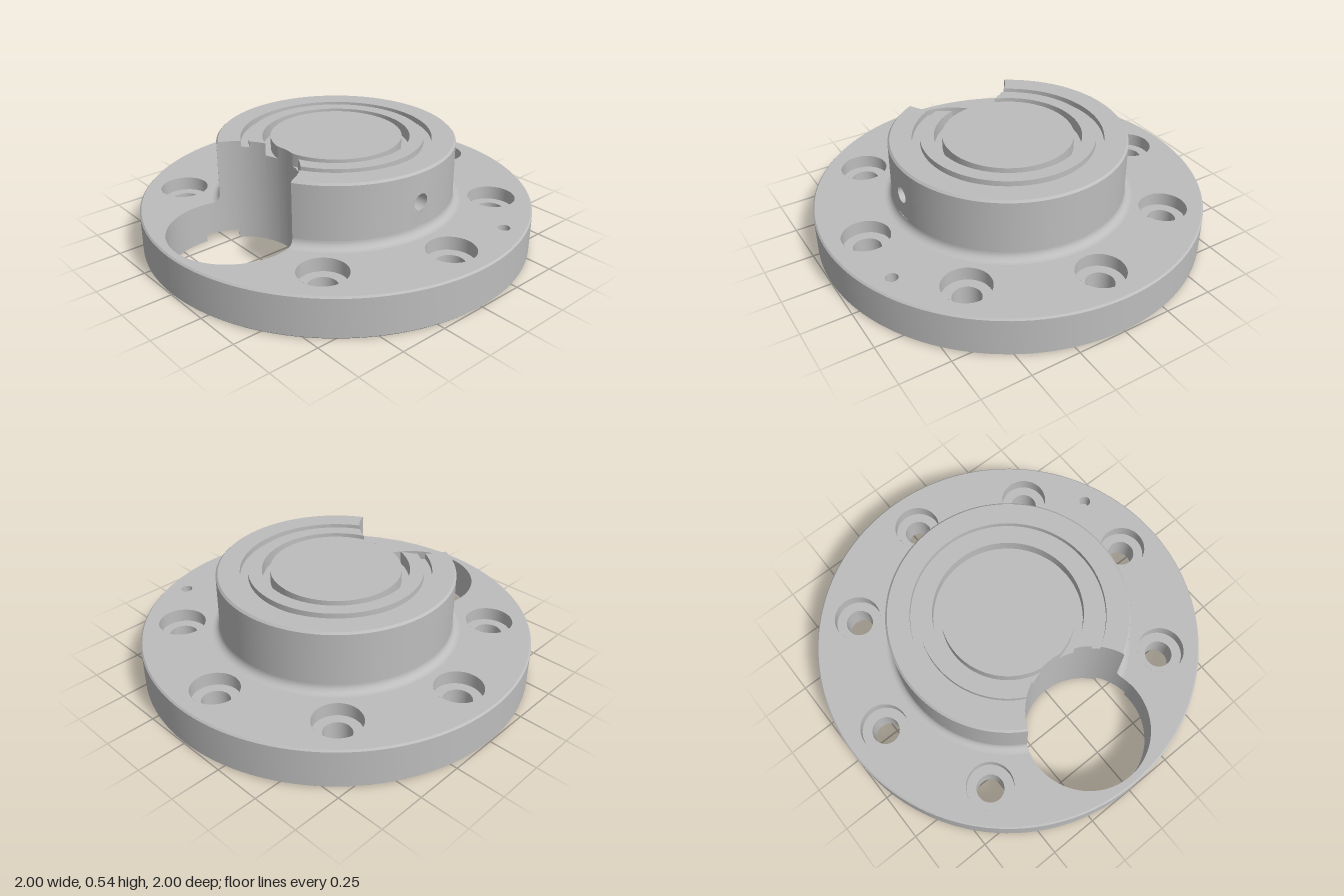
import * as THREE from 'three';

const TOP = 0.535, DECK = 0.21, GROOVE = 0.04;   // key heights
const CUT_Z = 0.64, CUT_R = 0.32;                // round cutout through the front
const BOLT_R = 0.07, BORE_R = 0.12, BORE_DEPTH = 0.07;
const FILLET = 0.04, PORT_Y = 0.375, PORT_R = 0.042, PORT_HALF = 0.1;

const clampAcos = (c) => Math.acos(Math.min(1, Math.max(-1, c)));
// half angle (from +z) that the cutout removes from a circle of radius r
const cutAngle = (r) => (r <= CUT_R ? 0 :
  clampAcos((r * r + CUT_Z * CUT_Z - CUT_R * CUT_R) / (2 * r * CUT_Z)));
// angle around the cutout's own centre at distance r from the main axis, and back
const cutPhi = (r) => clampAcos((CUT_Z ** 2 + CUT_R ** 2 - r * r) / (2 * CUT_Z * CUT_R));
const phiRadius = (p) => Math.sqrt(CUT_Z ** 2 + CUT_R ** 2 - 2 * CUT_Z * CUT_R * Math.cos(p));
const lerp = THREE.MathUtils.lerp;

// smooth surface through rows of points
function grid(rows) {
  const n = rows[0].length, index = [];
  for (let i = 0; i < rows.length - 1; i++) {
    for (let j = 0; j < n - 1; j++) {
      const a = i * n + j, b = a + n;
      index.push(a, b, a + 1, b, b + 1, a + 1);
    }
  }
  const geo = new THREE.BufferGeometry().setFromPoints(rows.flat());
  geo.setIndex(index);
  geo.computeVertexNormals();
  return geo;
}

// revolved profile of [radius, height] that stops at the cutout
function revolve(profile, from, to, segments = 128) {
  return grid(profile.map(([r, y]) => {
    const a0 = from ?? cutAngle(r), a1 = to ?? 2 * Math.PI - cutAngle(r);
    return Array.from({ length: segments + 1 }, (_, j) => {
      const a = lerp(a0, a1, j / segments);
      return new THREE.Vector3(r * Math.sin(a), y, r * Math.cos(a));
    });
  }));
}

// flat ring (or disc when inner is 0) with the cutout bitten out
function flatRing(outer, inner, y) {
  const p0 = cutPhi(outer), p1 = cutPhi(inner), profile = [];
  for (let i = 0; i <= 16; i++) profile.push([phiRadius(lerp(p0, p1, i / 16)), y]);
  if (inner < CUT_R) profile.push([inner, y]);
  return revolve(profile);
}

const boltSpots = [];
for (let i = 1; i < 8; i++) {
  const a = i * Math.PI / 4;
  boltSpots.push([0.8 * Math.sin(a), 0.8 * Math.cos(a)]);
}
const pin = [0.825, -0.345, 0.03];

// flange face: disc minus hub circle, cutout and round holes
function flangeFace(inner, y, holes) {
  const shape = new THREE.Shape().absarc(0, 0, 0.992, 0, Math.PI * 2);
  const a0 = cutAngle(inner), p0 = cutPhi(inner), pts = [];
  for (let i = 0; i <= 128; i++) {
    const a = lerp(a0, 2 * Math.PI - a0, i / 128);
    pts.push(new THREE.Vector2(inner * Math.sin(a), inner * Math.cos(a)));
  }
  for (let i = 1; i < 64; i++) {
    const p = -lerp(p0, 2 * Math.PI - p0, i / 64);
    pts.push(new THREE.Vector2(CUT_R * Math.sin(p), CUT_Z - CUT_R * Math.cos(p)));
  }
  shape.holes.push(new THREE.Path(pts));
  for (const [x, z, r] of holes) {
    shape.holes.push(new THREE.Path().absarc(x, z, r, 0, Math.PI * 2, true));
  }
  return new THREE.ShapeGeometry(shape, 64).rotateX(Math.PI / 2).translate(0, y, 0);
}

// open round wall standing between two heights
const tube = (r, y0, y1) =>
  new THREE.CylinderGeometry(r, r, y1 - y0, 40, 1, true).translate(0, (y0 + y1) / 2, 0);

// curved hub panel pierced by the side port
function portPanel() {
  const w = 0.6 * PORT_HALF;
  const shape = new THREE.Shape([[-w, 0.25], [w, 0.25], [w, 0.525], [-w, 0.525]]
    .map(([x, y]) => new THREE.Vector2(x, y)));
  shape.holes.push(new THREE.Path().absarc(0, PORT_Y, PORT_R, 0, Math.PI * 2, true));
  const geo = new THREE.ShapeGeometry(shape, 24), pos = geo.attributes.position;
  for (let i = 0; i < pos.count; i++) {
    const a = Math.PI / 2 + pos.getX(i) / 0.6;
    pos.setXYZ(i, 0.6 * Math.sin(a), pos.getY(i), 0.6 * Math.cos(a));
  }
  geo.computeVertexNormals();
  return geo;
}

// fillet from hub wall down to flange
const fillet = Array.from({ length: 9 }, (_, i) => {
  const a = (i / 8) * Math.PI / 2;
  return [0.6 + FILLET * (1 - Math.cos(a)), DECK + FILLET * (1 - Math.sin(a))];
});

// wall of the cutout, following the stepped section [radius, top, bottom]
function cutoutWall() {
  const section = [
    [0.32, TOP, 0], [0.33, TOP, 0], [0.33, 0.47, 0], [0.37, 0.47, 0], [0.37, TOP, 0],
    [0.44, TOP, 0], [0.44, 0.505, 0], [0.48, 0.505, 0], [0.48, TOP, 0], [0.51, TOP, 0],
    [0.51, TOP, GROOVE], [0.59, TOP, GROOVE], [0.6, 0.525, GROOVE],
    ...fillet.map(([r, y]) => [r, y, GROOVE]),
    [0.68, DECK, GROOVE], [0.68, DECK, 0], [0.96, DECK, 0],
  ];
  const half = [];
  for (let i = 0; i < section.length - 1; i++) {
    const [r0, t0, b0] = section[i], [r1, t1, b1] = section[i + 1];
    const p0 = cutPhi(r0), p1 = cutPhi(r1), n = Math.max(1, Math.ceil((p1 - p0) / 0.06));
    for (let k = 0; k <= n; k++) {
      const f = k / n;
      half.push([lerp(p0, p1, f), lerp(t0, t1, f), lerp(b0, b1, f)]);
    }
  }
  const mirrored = half.map(([p, t, b]) => [-p, t, b]).reverse();
  return grid([...mirrored, ...half].map(([p, t, b]) => [b, t].map((y) =>
    new THREE.Vector3(CUT_R * Math.sin(p), y, CUT_Z - CUT_R * Math.cos(p)))));
}

export function createModel() {
  const model = new THREE.Group();
  model.name = 'flangedHub';
  const steel = new THREE.MeshStandardMaterial({ color: 0xbdbdbd, side: THREE.DoubleSide });
  steel.name = 'steel';
  const add = (name, geo, parent = model) => {
    const mesh = new THREE.Mesh(geo, steel);
    mesh.name = name;
    parent.add(mesh);
    return mesh;
  };

  // flange plate
  const bolts = (r) => boltSpots.map(([x, z]) => [x, z, r]);
  add('flangeTop', flangeFace(0.64, DECK, [...bolts(BORE_R), pin]));
  add('flangeBottom', flangeFace(0.68, 0, bolts(BOLT_R)));
  add('flangeRim', revolve([[1, 0.008], [1, DECK - 0.008]]));
  add('flangeTopChamfer', revolve([[1, DECK - 0.008], [0.992, DECK]]));
  add('flangeBottomChamfer', revolve([[0.992, 0], [1, 0.008]]));

  // counterbored bolt holes
  for (const [x, z] of boltSpots) {
    const hole = new THREE.Group();
    hole.name = 'boltHole';
    hole.position.set(x, 0, z);
    const floor = DECK - BORE_DEPTH;
    add('counterboreWall', tube(BORE_R, floor, DECK), hole);
    add('counterboreFloor', new THREE.RingGeometry(BOLT_R, BORE_R, 40)
      .rotateX(-Math.PI / 2).translate(0, floor, 0), hole);
    add('boltHoleWall', tube(BOLT_R, 0, floor), hole);
    model.add(hole);
  }

  // blind pin hole
  add('pinHoleWall', tube(pin[2], DECK - 0.08, DECK)).position.set(pin[0], 0, pin[1]);
  add('pinHoleFloor', new THREE.CircleGeometry(pin[2], 32).rotateX(-Math.PI / 2))
    .position.set(pin[0], DECK - 0.08, pin[1]);

  // hub side, split around the port panel
  const side = [[0.6, 0.525], [0.6, 0.25]], a = cutAngle(0.6);
  add('hubWallFront', revolve(side, a, Math.PI / 2 - PORT_HALF, 32));
  add('hubWallBack', revolve(side, Math.PI / 2 + PORT_HALF, 2 * Math.PI - a, 96));
  add('hubPortPanel', portPanel());
  add('hubFillet', revolve(fillet));
  add('hubChamfer', revolve([[0.59, TOP], [0.6, 0.525]]));

  // blind side port
  add('portWall', tube(PORT_R, 0.45, 0.599).rotateZ(-Math.PI / 2)).position.y = PORT_Y;
  add('portFloor', new THREE.CircleGeometry(PORT_R, 32).rotateY(Math.PI / 2))
    .position.set(0.45, PORT_Y, 0);

  // hub top with two ring grooves
  for (const [name, outer, inner, y] of [
    ['hubRim', 0.59, 0.48, TOP], ['outerGrooveFloor', 0.48, 0.44, 0.505],
    ['hubLand', 0.44, 0.37, TOP], ['innerGrooveFloor', 0.37, 0.33, 0.47],
    ['hubCentre', 0.33, 0, TOP],
    ['undersideGrooveFloor', 0.68, 0.51, GROOVE], ['undersideBoss', 0.51, 0, 0],
  ]) add(name, flatRing(outer, inner, y));
  for (const [r, y0, y1] of [
    [0.48, 0.505, TOP], [0.44, 0.505, TOP], [0.37, 0.47, TOP], [0.33, 0.47, TOP],
    [0.68, 0, GROOVE], [0.51, 0, GROOVE],
  ]) add('grooveWall', revolve([[r, y0], [r, y1]]));

  add('cutoutWall', cutoutWall());
  return model;
}
